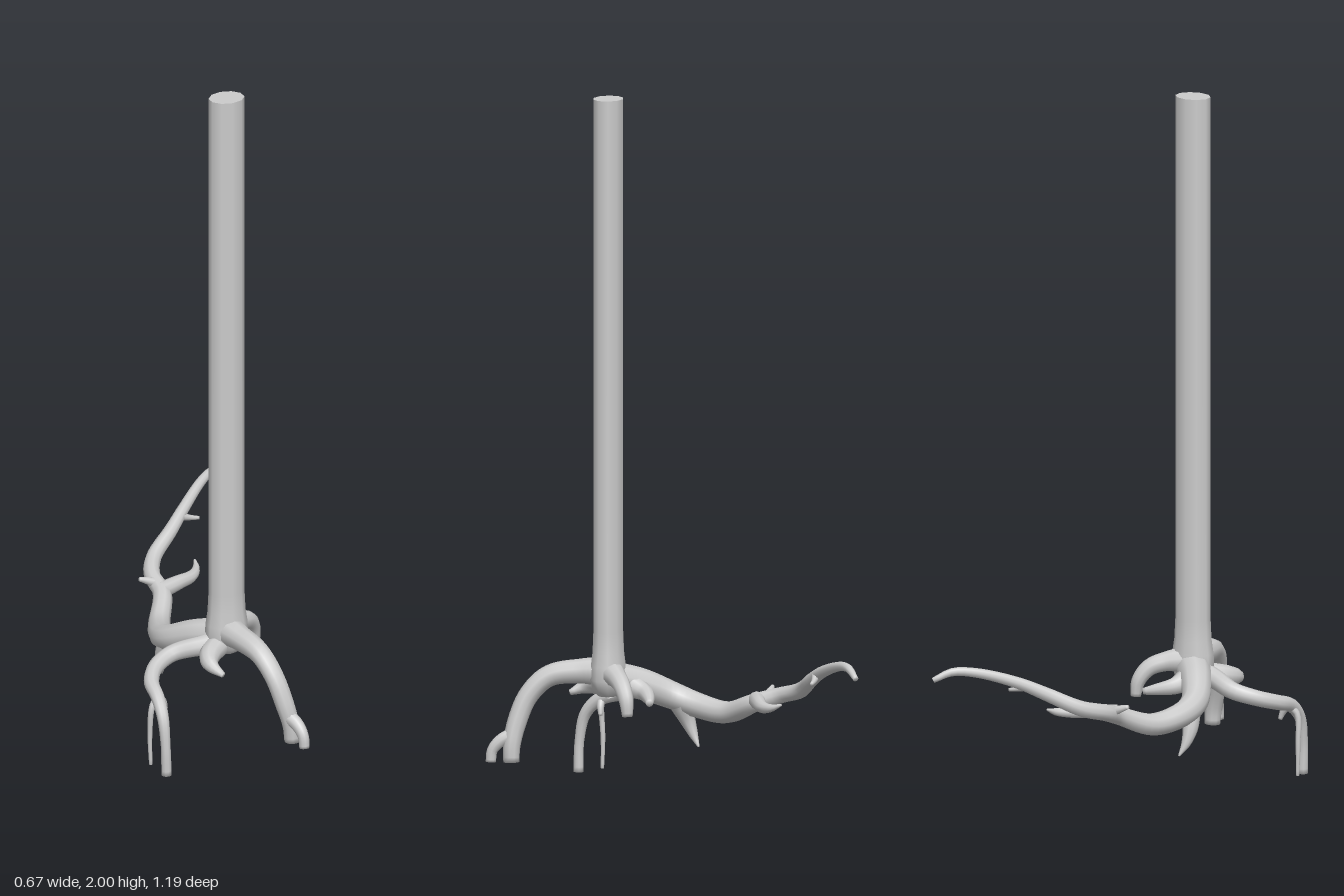
import * as THREE from 'three';
import { mergeVertices } from 'three/addons/utils/BufferGeometryUtils.js';

const material = new THREE.MeshStandardMaterial({ color: 0xcccccc, side: THREE.DoubleSide });

// Tapered tube through [x, y, z, radius] stations, closed at its far end
function taperedTube(stations, sides = 10) {
  const curve = new THREE.CatmullRomCurve3(stations.map(([x, y, z]) => new THREE.Vector3(x, y, z)));
  const steps = (stations.length - 1) * 5 + 1;
  let geo = new THREE.TubeGeometry(curve, steps, 1, sides);
  const pos = geo.attributes.position;
  const v = new THREE.Vector3();
  for (let i = 0; i <= steps; i++) {
    const ringCentre = curve.getPointAt(i / steps);
    // the last two rings share the end point; the very last one shrinks to close it
    const u = Math.min(1, i / (steps - 1));
    const centre = curve.getPointAt(u);
    const t = curve.getUtoTmapping(u) * (stations.length - 1);
    const k = Math.min(Math.floor(t), stations.length - 2);
    const radius = i === steps ? 0 : THREE.MathUtils.lerp(stations[k][3], stations[k + 1][3], t - k);
    for (let j = 0; j <= sides; j++) {
      const n = i * (sides + 1) + j;
      v.fromBufferAttribute(pos, n).sub(ringCentre).multiplyScalar(radius).add(centre);
      pos.setXYZ(n, v.x, v.y, v.z);
    }
  }
  geo.deleteAttribute('uv');
  geo.deleteAttribute('normal');
  geo = mergeVertices(geo, 1e-5);
  geo.computeVertexNormals();
  return geo;
}

export function createModel() {
  const model = new THREE.Group();
  const add = (name, geo) => {
    const mesh = new THREE.Mesh(geo, material);
    mesh.name = name;
    model.add(mesh);
    return mesh;
  };
  const root = (name, ...stations) => add(name, taperedTube(stations));

  // Straight trunk, slightly oval, flaring into the root crown
  const profile = [[0, 0.27], [0.035, 0.272], [0.055, 0.29], [0.064, 0.32], [0.062, 0.36],
    [0.056, 0.4], [0.053, 0.46], [0.053, 1.2], [0.053, 2]].map(([r, y]) => new THREE.Vector2(r, y));
  const trunk = add('trunk', new THREE.LatheGeometry(profile, 10));
  const top = add('trunkTop', new THREE.CircleGeometry(0.053, 10).rotateX(-Math.PI / 2).rotateY(Math.PI / 2));
  top.position.y = 2;
  for (const part of [trunk, top]) {
    part.position.x = -0.043;
    part.position.z = 0.262;
    part.scale.z = 0.82;
  }

  // Front root, arching down to a forked foot
  root('frontRoot', [-0.045, 0.34, 0.27, 0.045], [-0.035, 0.34, 0.34, 0.036], [-0.015, 0.325, 0.43, 0.031],
    [0.005, 0.27, 0.485, 0.029], [0.025, 0.19, 0.515, 0.028], [0.04, 0.125, 0.525, 0.025], [0.043, 0.08, 0.525, 0.023]);
  root('frontRootFork', [0.03, 0.16, 0.52, 0.022], [0.045, 0.142, 0.555, 0.019],
    [0.053, 0.115, 0.578, 0.016], [0.055, 0.08, 0.583, 0.015]);

  // Right side root, curling forward and down to the ground
  root('sideRoot', [-0.06, 0.3, 0.265, 0.04], [-0.12, 0.295, 0.25, 0.029], [-0.195, 0.275, 0.223, 0.025],
    [-0.26, 0.255, 0.25, 0.023], [-0.298, 0.235, 0.305, 0.022], [-0.306, 0.215, 0.365, 0.02],
    [-0.31, 0.17, 0.41, 0.017], [-0.31, 0.09, 0.428, 0.014], [-0.308, 0, 0.43, 0.015]);
  root('sideRootlet', [-0.305, 0.215, 0.36, 0.012], [-0.325, 0.19, 0.368, 0.009],
    [-0.33, 0.1, 0.364, 0.007], [-0.328, 0.01, 0.365, 0.005]);
  root('sideSpur', [-0.3, 0.215, 0.36, 0.013], [-0.285, 0.195, 0.358, 0.01], [-0.276, 0.172, 0.355, 0.006]);

  // Short stub between the side and front roots
  root('stubRoot', [-0.07, 0.3, 0.27, 0.035], [-0.12, 0.29, 0.315, 0.031], [-0.135, 0.28, 0.355, 0.022],
    [-0.115, 0.262, 0.398, 0.008]);

  // Long back root, dipping and then rising to a thin tip
  root('backRoot', [-0.05, 0.32, 0.25, 0.05], [-0.1, 0.3, 0.18, 0.045], [-0.142, 0.262, 0.095, 0.039],
    [-0.138, 0.24, 0.025, 0.036], [-0.1, 0.23, -0.075, 0.032], [-0.045, 0.272, -0.175, 0.027],
    [-0.042, 0.297, -0.25, 0.024], [-0.005, 0.32, -0.32, 0.023], [0.075, 0.365, -0.378, 0.02],
    [0.14, 0.402, -0.43, 0.017], [0.23, 0.437, -0.508, 0.014], [0.285, 0.442, -0.553, 0.012],
    [0.327, 0.42, -0.587, 0.008]);
  root('backRootThorn', [-0.14, 0.24, 0.075, 0.032], [-0.15, 0.195, 0.058, 0.023], [-0.147, 0.155, 0.04, 0.014],
    [-0.135, 0.12, 0.02, 0.003]);
  root('backRootBranch', [-0.045, 0.28, -0.18, 0.025], [0.02, 0.283, -0.205, 0.021],
    [0.075, 0.28, -0.235, 0.017], [0.105, 0.285, -0.27, 0.011], [0.115, 0.297, -0.302, 0.003]);
  root('lowerTwig', [-0.045, 0.29, -0.21, 0.015], [-0.075, 0.303, -0.212, 0.011], [-0.1, 0.312, -0.211, 0.006]);
  root('upperTwig', [0.115, 0.39, -0.405, 0.013], [0.15, 0.378, -0.41, 0.008], [0.178, 0.372, -0.41, 0.005]);

  // Two short roots on the left of the crown
  root('leftRootThin', [-0.065, 0.3, 0.2, 0.035], [-0.045, 0.285, 0.155, 0.025], [0, 0.275, 0.128, 0.017],
    [0.036, 0.268, 0.115, 0.01]);
  root('leftRootThick', [-0.03, 0.34, 0.25, 0.04], [0.02, 0.335, 0.218, 0.029], [0.06, 0.318, 0.19, 0.025],
    [0.084, 0.28, 0.17, 0.021], [0.09, 0.236, 0.165, 0.015]);
  return model;
}
